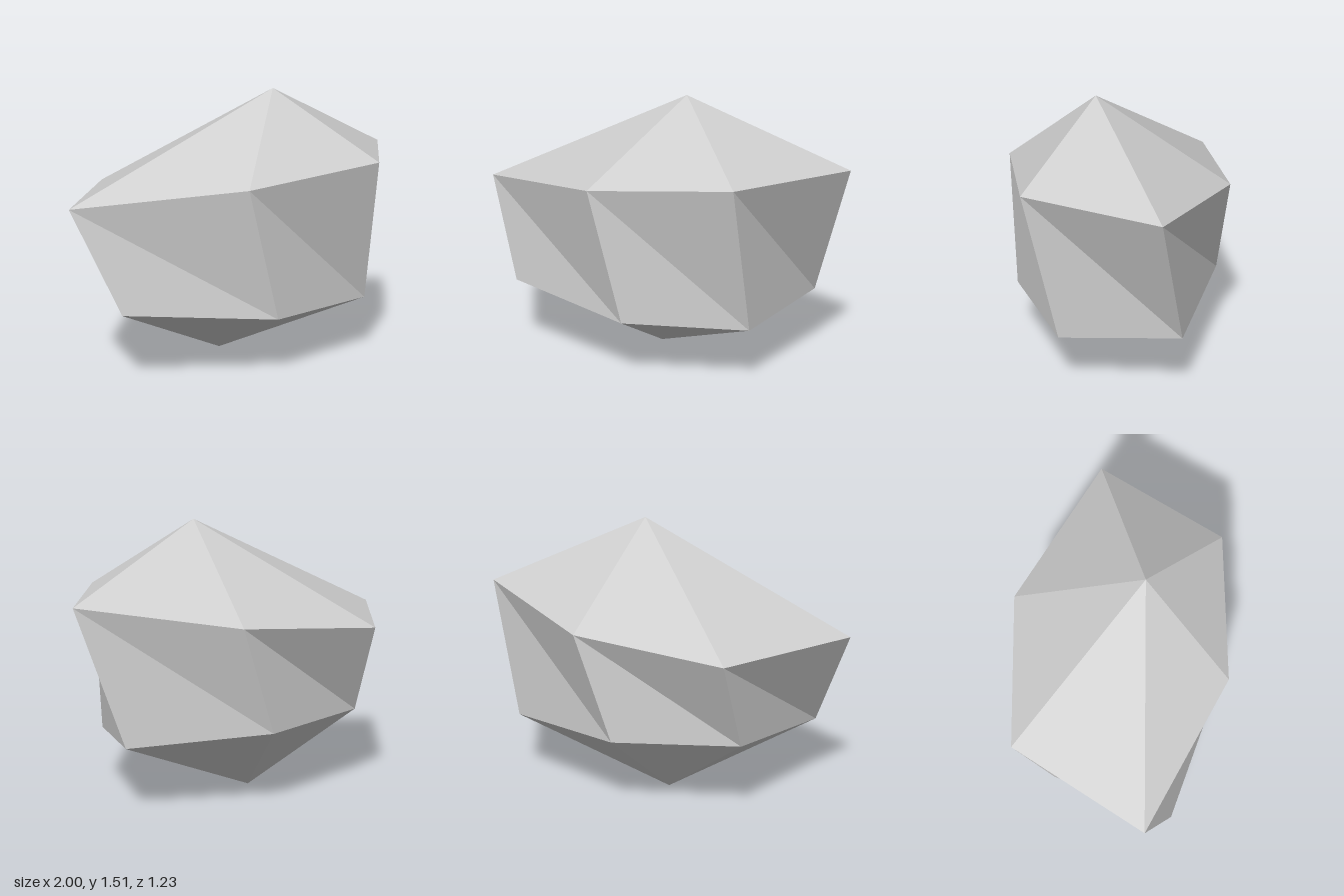
import * as THREE from 'three';

// Irregular six-sided rock: two rings of corners closed by a peak and a base point
const PEAK = [0.19, 1.51, 0.11];
const BASE = [-0.065, 0, -0.065];
const UPPER = [
  [-1, 0.95, 0.27], [-0.13, 1.055, 0.61], [0.665, 1.13, 0.48],
  [1, 1.12, -0.24], [0.205, 1.015, -0.615], [-0.63, 0.94, -0.5],
];
const LOWER = [
  [-0.76, 0.39, 0.4], [0.05, 0.335, 0.57], [0.68, 0.325, 0.3],
  [0.765, 0.375, -0.355], [0.01, 0.427, -0.565], [-0.63, 0.435, -0.286],
];

function rockGeometry() {
  const corners = [];
  const face = (...points) => points.forEach((p) => corners.push(...p));
  const n = UPPER.length;
  for (let i = 0; i < n; i++) {
    const j = (i + 1) % n;
    face(PEAK, UPPER[i], UPPER[j]); // crown
    face(UPPER[i], LOWER[i], LOWER[j]); // sides
    face(UPPER[i], LOWER[j], UPPER[j]);
    face(BASE, LOWER[j], LOWER[i]); // underside
  }
  const geometry = new THREE.BufferGeometry();
  geometry.setAttribute('position', new THREE.Float32BufferAttribute(corners, 3));
  geometry.computeVertexNormals(); // unshared corners give flat facets
  return geometry;
}

export function createModel() {
  const stone = new THREE.MeshStandardMaterial({ color: 0xcccccc });
  stone.name = 'stoneGrey';
  stone.flatShading = true;

  const rock = new THREE.Mesh(rockGeometry(), stone);
  rock.name = 'rock';

  const model = new THREE.Group();
  model.name = 'facetedRock';
  model.add(rock);
  return model;
}
